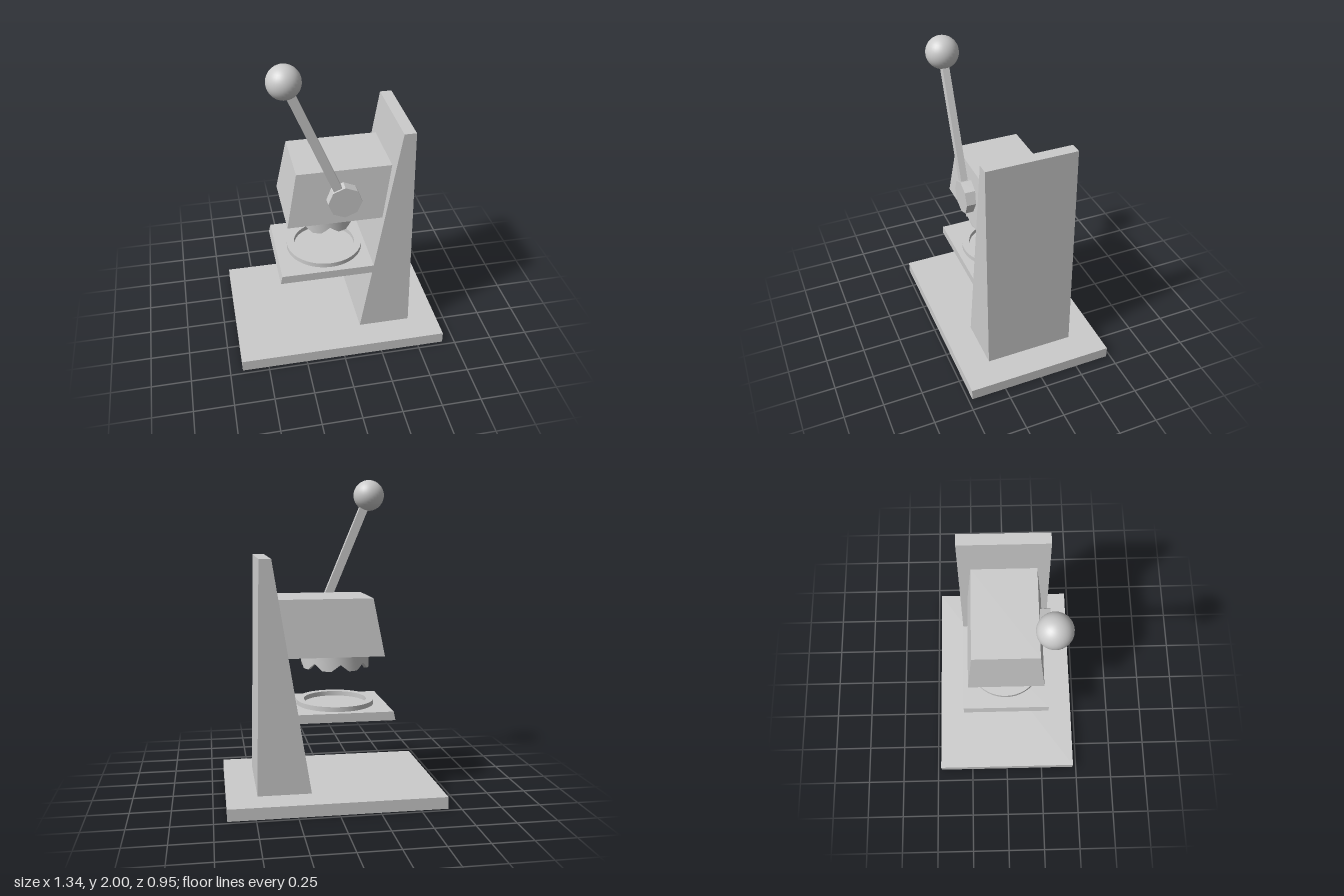
import * as THREE from 'three';
import { toCreasedNormals } from 'three/addons/utils/BufferGeometryUtils.js';

const material = new THREE.MeshStandardMaterial({ color: 0xcccccc });

function add(parent, name, geometry, x = 0, y = 0, z = 0) {
  const mesh = new THREE.Mesh(geometry, material);
  mesh.name = name;
  mesh.position.set(x, y, z);
  parent.add(mesh);
  return mesh;
}

// Block with a four-sided outline: [x0, x1, halfDepth] at its bottom and top
function taperedBlock(y0, y1, bottom, top) {
  const geometry = new THREE.BoxGeometry(1, 1, 1).toNonIndexed();
  const p = geometry.attributes.position;
  for (let i = 0; i < p.count; i++) {
    const [x0, x1, d] = p.getY(i) > 0 ? top : bottom;
    p.setXYZ(i, p.getX(i) > 0 ? x1 : x0, p.getY(i) > 0 ? y1 : y0, Math.sign(p.getZ(i)) * d);
  }
  geometry.computeVertexNormals();
  return geometry;
}

// Closed ring with a rectangular section
function ringGeometry(inner, outer, height) {
  const profile = [[inner, height], [inner, 0], [outer, 0], [outer, height], [inner, height]];
  return new THREE.LatheGeometry(profile.map(([r, y]) => new THREE.Vector2(r, y)), 48);
}

export function createModel() {
  const model = new THREE.Group();
  model.name = 'leverPress';

  // Base and leaning column
  add(model, 'base', new THREE.BoxGeometry(1.34, 0.075, 0.95), 0, 0.0375, 0);
  add(model, 'column', taperedBlock(0.075, 1.52, [0.145, 0.48, 0.287], [0.38, 0.455, 0.287]));

  // Shelf with its raised ring
  add(model, 'shelf', taperedBlock(0.52, 0.575, [-0.378, 0.217, 0.287], [-0.366, 0.227, 0.287]));
  add(model, 'shelfRing', toCreasedNormals(ringGeometry(0.2, 0.247, 0.03), 0.6), -0.045, 0.575, 0);

  // Head, narrower at its top
  add(model, 'head', taperedBlock(0.915, 1.27, [-0.317, 0.282, 0.243], [-0.25, 0.339, 0.208]));

  // Hollow cutter with eight notches in its lower rim
  const cutter = ringGeometry(0.195, 0.216, 0.095);
  const p = cutter.attributes.position;
  for (let i = 0; i < p.count; i++) {
    if (p.getY(i) > 0.05) continue;
    const turn = Math.atan2(p.getX(i), p.getZ(i)) / (Math.PI / 4);
    const offset = Math.abs(turn - Math.round(turn)) * 3;
    p.setY(i, 0.042 * Math.max(0, 1 - offset));
  }
  add(model, 'cutter', toCreasedNormals(cutter, 0.6), -0.045, 0.82, 0);

  // Lever: octagonal hub, bar and ball
  const lever = new THREE.Group();
  lever.name = 'lever';
  model.add(lever);
  const hubGeometry = toCreasedNormals(new THREE.CylinderGeometry(0.106, 0.106, 0.085, 8), 0.3);
  add(lever, 'hub', hubGeometry.rotateX(Math.PI / 2), 0.035, 1.085, 0.2425);

  const start = new THREE.Vector3(0.01, 1.13, 0.252);
  const end = new THREE.Vector3(-0.31, 1.9, 0.252);
  const middle = start.clone().lerp(end, 0.5);
  const bar = add(lever, 'bar', new THREE.BoxGeometry(0.055, start.distanceTo(end), 0.042),
    middle.x, middle.y, middle.z);
  bar.rotation.z = Math.atan2(start.x - end.x, end.y - start.y);
  add(lever, 'ball', new THREE.SphereGeometry(0.1, 32, 20), end.x, end.y, end.z);

  return model;
}
